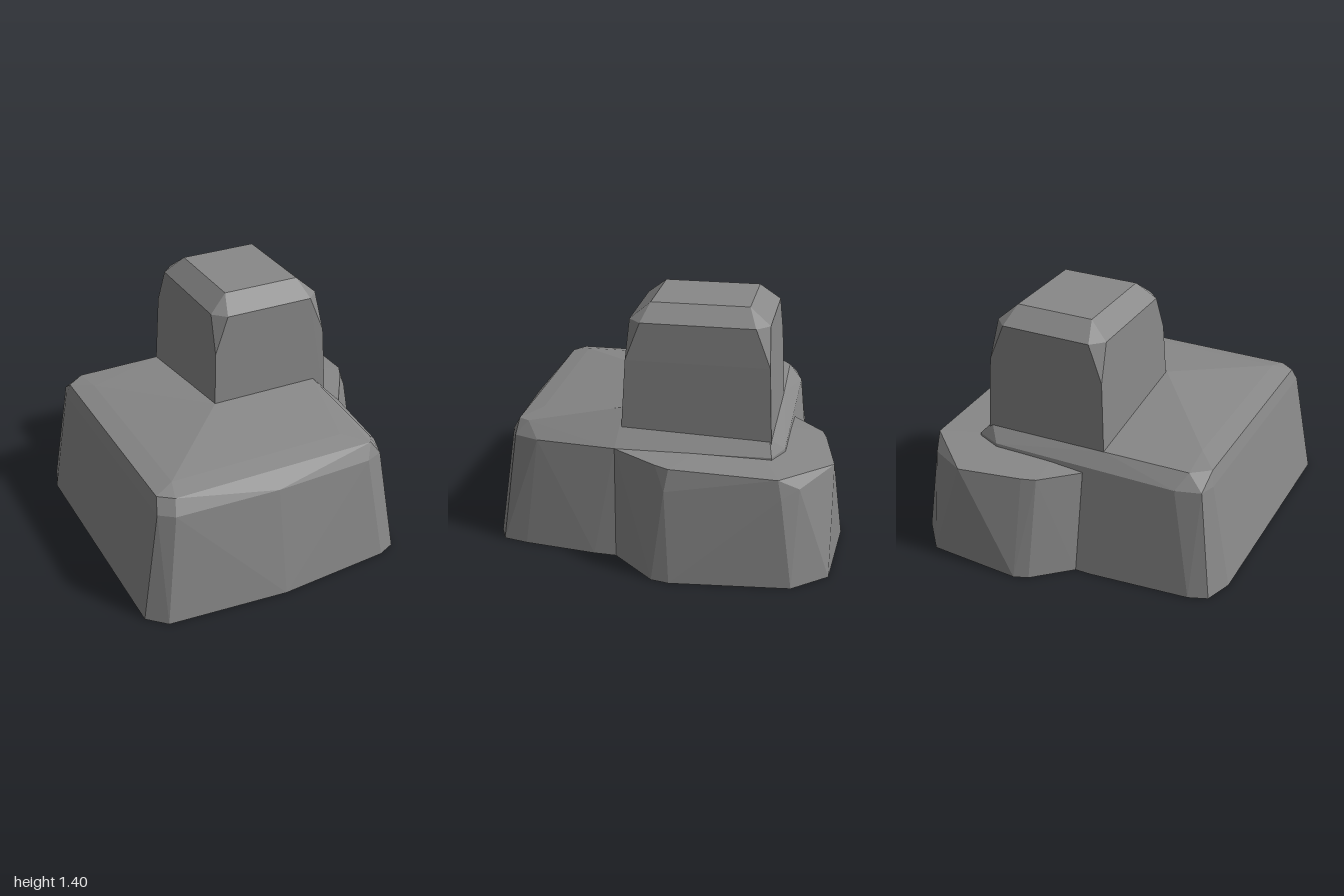
import * as THREE from 'three';
import { ConvexGeometry } from 'three/addons/geometries/ConvexGeometry.js';

const stone = new THREE.MeshStandardMaterial({ color: 0x888888 });
stone.name = 'stone grey';

// Faceted boulder from horizontal layers: [height, [x, z], [x, z], ...]
function boulder(name, layers) {
  const points = layers.flatMap(([y, ...ring]) =>
    ring.map(([x, z]) => new THREE.Vector3(x, y, z)));
  const mesh = new THREE.Mesh(new ConvexGeometry(points), stone);
  mesh.name = name;
  return mesh;
}

// Rectangle layer, with corners cut by cx and cz
function cutRect(y, x0, x1, z0, z1, cx = 0, cz = 0) {
  if (!cx) return [y, [x0, z0], [x1, z0], [x1, z1], [x0, z1]];
  return [y, [x0 + cx, z0], [x1 - cx, z0], [x1, z0 + cz], [x1, z1 - cz],
    [x1 - cx, z1], [x0 + cx, z1], [x0, z1 - cz], [x0, z0 + cz]];
}

export function createModel() {
  const group = new THREE.Group();
  group.name = 'rockCluster';

  // Wide base rock with a sloping crown
  group.add(boulder('baseRock', [
    [0, [-0.93, 0.85], [-0.83, 0.945], [-0.15, 1.0], [0.5, 0.945], [0.6, 0.9], [0.63, 0.76],
      [0.68, 0.35], [0.685, 0.23], [0.62, -0.6], [0.5, -0.72], [-0.11, -0.79], [-0.2, -0.79],
      [-0.77, -0.74], [-0.875, -0.7], [-0.93, -0.54]],
    [0.62, [-0.82, 0.81], [-0.74, 0.87], [-0.15, 0.895], [0.42, 0.87], [0.52, 0.83], [0.57, 0.69],
      [0.61, 0.24], [0.58, -0.62], [0.44, -0.68], [-0.65, -0.68], [-0.79, -0.64], [-0.82, -0.55]],
    [0.7, [-0.8, 0.76], [-0.72, 0.82], [0.46, 0.82], [0.49, 0.76], [0.52, 0.22], [0.51, -0.6],
      [-0.2, -0.61], [-0.7, -0.6], [-0.8, -0.52]],
    [0.727, [-0.69, 0.71], [0.33, 0.71], [-0.69, -0.4]],
    [0.8, [-0.2, 0.22], [0.44, 0.22]],
  ]));

  // Upright block with bevelled top
  group.add(boulder('upperRock', [
    cutRect(0.6, -0.205, 0.525, -0.615, 0.225),
    cutRect(1.1, -0.182, 0.504, -0.592, 0.197),
    cutRect(1.31, -0.17, 0.49, -0.58, 0.187, 0.07, 0.07),
    cutRect(1.4, -0.062, 0.388, -0.465, 0.075),
  ]));

  // Lower rock leaning against the back corner
  group.add(boulder('sideRock', [
    [0, [0.45, 0.4], [0.68, 0.23], [0.91, -0.02], [0.93, -0.12], [0.87, -0.77], [0.78, -0.85],
      [0.71, -0.96], [0.17, -1.0], [0.09, -0.97], [-0.11, -0.79], [0, -0.5]],
    [0.5, [0.85, -0.08], [0.83, -0.7]],
    [0.54, [0.77, -0.79]],
    [0.585, [0.52, -0.955], [0.16, -0.89], [0.08, -0.865], [-0.11, -0.69]],
    [0.605, [0.82, -0.68]],
    [0.62, [0.61, 0.24], [0.78, -0.02], [0.82, -0.1], [0.4, 0.2], [0.1, -0.4]],
  ]));

  return group;
}
